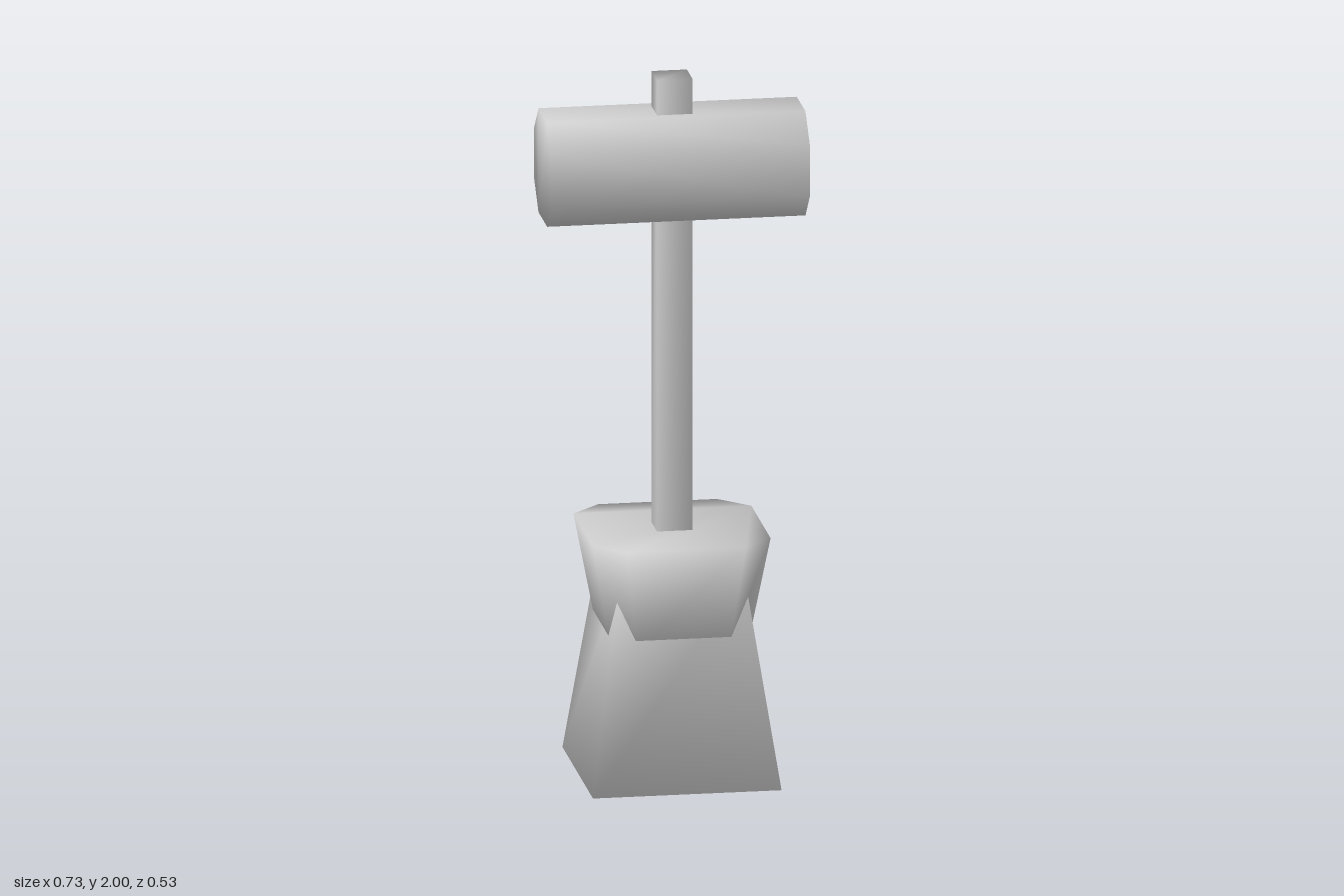
import * as THREE from 'three';

const stone = new THREE.MeshStandardMaterial({ color: 0xcccccc });
stone.name = 'plain grey';

// Square outline with half width h and corners cut by c, counter-clockwise from above
function outline(h, c) {
  const a = h - c;
  const corner = c > 0 ? [[h, -a], [a, -h]] : [[h, -h]];
  const ring = [];
  for (let q = 0; q < 4; q++) {
    for (const p of corner) {
      let [x, z] = p;
      for (let k = 0; k < q; k++) [x, z] = [z, -x];
      ring.push([x, z]);
    }
  }
  return ring;
}

// Capped block between two square outlines, with shared vertices for soft shading
function taperedBlock(name, [y0, h0, c0], [y1, h1, c1]) {
  const bottom = outline(h0, c0);
  const top = outline(h1, c1);
  const n = bottom.length;
  const positions = [];
  bottom.forEach(([x, z]) => positions.push(x, y0, z));
  top.forEach(([x, z]) => positions.push(x, y1, z));
  const index = [];
  for (let i = 0; i < n; i++) {
    const j = (i + 1) % n;
    index.push(i, j, n + j, i, n + j, n + i);
  }
  for (let i = 1; i < n - 1; i++) {
    index.push(n, n + i, n + i + 1, 0, i + 1, i);
  }
  const geometry = new THREE.BufferGeometry();
  geometry.setAttribute('position', new THREE.Float32BufferAttribute(positions, 3));
  geometry.setIndex(index);
  geometry.computeVertexNormals();
  const mesh = new THREE.Mesh(geometry, stone);
  mesh.name = name;
  return mesh;
}

export function createModel() {
  const model = new THREE.Group();
  model.name = 'hammer on pedestal';

  // Flared foot, narrowing upwards into the collar
  const foot = taperedBlock('pedestalFoot', [0, 0.265, 0], [0.6, 0.175, 0]);

  // Collar with cut corners, widening upwards
  const collar = taperedBlock('pedestalCollar', [0.4, 0.195, 0.064], [0.7, 0.25, 0.083]);

  // Square shaft, running through the head
  const shaft = taperedBlock('shaft', [0.5, 0.05, 0], [2, 0.05, 0]);

  // Eight-sided head lying along x
  const head = taperedBlock('hammerHead', [-0.363, 0.15, 0.075], [0.363, 0.15, 0.075]);
  head.geometry.rotateZ(-Math.PI / 2);
  head.position.y = 1.75;

  model.add(foot, collar, shaft, head);
  return model;
}
